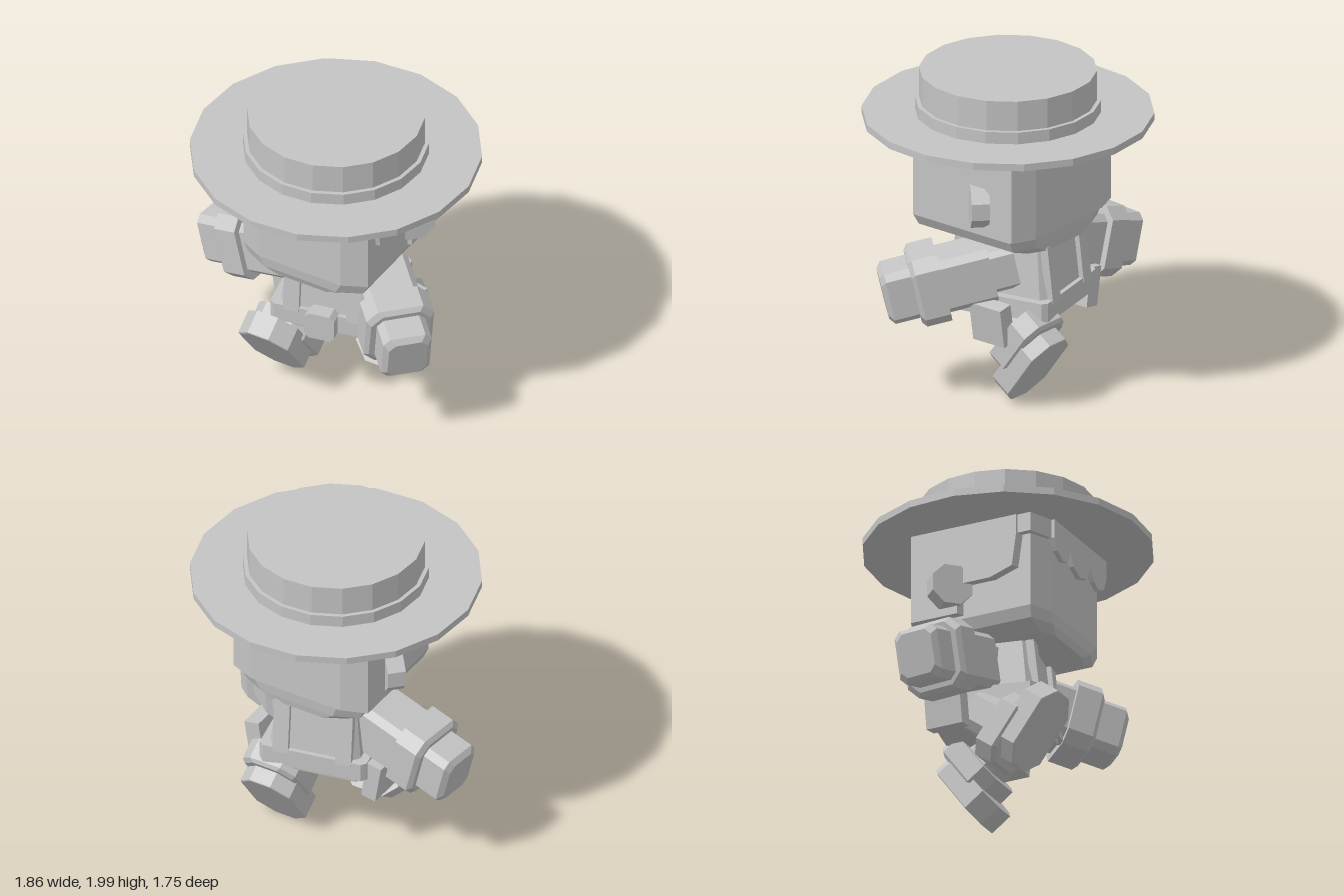
import * as THREE from 'three';

const grey = new THREE.MeshStandardMaterial({ color: 0xc4c4c4, flatShading: true });
grey.name = 'plain grey';

// Octagonal cross-section: a w x h rectangle with corners cut by c (across) and d (along), at height z
function ring(z, w, h, c, d = c, cx = 0, cy = 0) {
  const a = w / 2, b = h / 2;
  return [[a, d - b], [a, b - d], [a - c, b], [c - a, b], [-a, b - d], [-a, d - b], [c - a, -b], [a - c, -b]]
    .map(([x, y]) => [x + cx, y + cy, z]);
}

// Skin between rings stacked along +z, with closed ends
function loft(rings) {
  const pos = [];
  const tri = (...p) => p.forEach((q) => pos.push(...q));
  for (let r = 0; r < rings.length - 1; r++) {
    for (let i = 0; i < 8; i++) {
      const j = (i + 1) % 8, A = rings[r], B = rings[r + 1];
      tri(A[i], A[j], B[j]);
      tri(A[i], B[j], B[i]);
    }
  }
  const first = rings[0], last = rings[rings.length - 1];
  for (let i = 1; i < 7; i++) {
    tri(first[0], first[i + 1], first[i]);
    tri(last[0], last[i], last[i + 1]);
  }
  const g = new THREE.BufferGeometry();
  g.setAttribute('position', new THREE.Float32BufferAttribute(pos, 3));
  g.computeVertexNormals();
  return g;
}

export function createModel() {
  const root = new THREE.Group();

  function add(name, geometry, parent = root) {
    const mesh = new THREE.Mesh(geometry, grey);
    mesh.name = name;
    parent.add(mesh);
    return mesh;
  }

  // Upright solid; each level is [y, x0, x1, zBack, zFront, cutX, cutZ]
  function tower(name, levels, parent = root) {
    const g = loft(levels.map(([y, x0, x1, z0, z1, c, d]) =>
      ring(y, x1 - x0, z1 - z0, c, d, (x0 + x1) / 2, -(z0 + z1) / 2)));
    return add(name, g.rotateX(-Math.PI / 2), parent);
  }

  // Block along local z from z0 to z1 with its far end bevelled
  function block(name, parent, w, h, z0, z1, cut, bevel, cy = 0) {
    return add(name, loft([
      ring(z0, w, h, cut, cut, 0, cy),
      ring(z1 - bevel, w, h, cut, cut, 0, cy),
      ring(z1, w - 2 * bevel, h - 2 * bevel, cut, cut, 0, cy),
    ]), parent);
  }

  // Group whose local z follows a direction
  function aim(name, position, direction) {
    const z = new THREE.Vector3(...direction).normalize();
    const x = Math.abs(z.x) < 0.01 ? new THREE.Vector3(1, 0, 0)
      : new THREE.Vector3(0, 1, 0).cross(z).normalize();
    const group = new THREE.Group();
    group.name = name;
    group.position.set(...position);
    group.quaternion.setFromRotationMatrix(new THREE.Matrix4().makeBasis(x, z.clone().cross(x), z));
    root.add(group);
    return group;
  }

  // Hat
  for (const [name, r, y0, y1] of [
    ['hatBrim', 0.88, 1.69, 1.735],
    ['hatBand', 0.56, 1.735, 1.81],
    ['hatCrown', 0.535, 1.81, 2.0],
  ]) {
    const g = new THREE.CylinderGeometry(r, r, y1 - y0, 18, 1, false, THREE.MathUtils.degToRad(15.5));
    add(name, g).position.set(0.055, (y0 + y1) / 2, 0);
  }

  // Head with a tapered jaw
  tower('head', [
    [0.985, -0.21, 0.33, -0.43, 0.41, 0.1, 0.05],
    [1.03, -0.34, 0.46, -0.44, 0.43, 0.15, 0.07],
    [1.1, -0.37, 0.5, -0.45, 0.44, 0.15, 0.07],
    [1.7, -0.37, 0.5, -0.45, 0.44, 0.15, 0.07],
  ]);

  // Hair: back, sides, temples and scalloped fringe
  tower('hairBack', [
    [1.12, -0.42, 0.525, -0.47, -0.04, 0.16, 0.06],
    [1.34, -0.42, 0.525, -0.47, -0.04, 0.16, 0.06],
  ]);
  tower('hairSides', [
    [1.31, -0.42, 0.525, -0.47, 0.18, 0.16, 0.06],
    [1.36, -0.42, 0.525, -0.47, 0.33, 0.16, 0.06],
    [1.57, -0.42, 0.525, -0.47, 0.36, 0.16, 0.06],
    [1.7, -0.42, 0.525, -0.47, 0.36, 0.16, 0.06],
  ]);
  tower('hairTemples', [
    [1.57, -0.41, 0.515, -0.2, 0.45, 0.16, 0.06],
    [1.7, -0.41, 0.515, -0.2, 0.45, 0.16, 0.06],
  ]);
  const fringe = new THREE.Shape();
  [[-0.25, 1.7], [-0.25, 1.57], [-0.21, 1.5], [-0.13, 1.46], [-0.07, 1.48], [-0.04, 1.56],
    [0, 1.48], [0.09, 1.44], [0.18, 1.47], [0.22, 1.56], [0.27, 1.49], [0.33, 1.46],
    [0.4, 1.49], [0.43, 1.57], [0.43, 1.7]]
    .forEach(([x, y], i) => (i ? fringe.lineTo(x, y) : fringe.moveTo(x, y)));
  add('hairFringe', new THREE.ExtrudeGeometry(fringe, { depth: 0.045, bevelEnabled: false }))
    .position.z = 0.425;

  // Ears: octagonal discs turned outward and forward
  for (const [name, x, s] of [['leftEar', 0.51, 1], ['rightEar', -0.43, -1]]) {
    const ear = aim(name, [x, 1.295, -0.14], [s, 0, 1]);
    add('earDisc', loft([ring(-0.06, 0.25, 0.25, 0.073), ring(0.05, 0.25, 0.25, 0.073)]), ear);
  }

  // Body, twisted slightly to its left
  const body = new THREE.Group();
  body.name = 'body';
  body.position.set(0.04, 0, -0.085);
  body.rotation.y = 0.21;
  root.add(body);
  tower('torso', [
    [0.64, -0.29, 0.29, -0.32, 0.32, 0.04],
    [1.0, -0.25, 0.25, -0.28, 0.28, 0.04],
  ], body);
  tower('hips', [
    [0.52, -0.31, 0.31, -0.32, 0.32, 0.04],
    [0.6, -0.32, 0.32, -0.33, 0.33, 0.04],
  ], body);
  tower('belt', [
    [0.55, -0.34, 0.34, -0.345, 0.345, 0.03],
    [0.67, -0.34, 0.34, -0.345, 0.345, 0.03],
  ], body);
  add('buckle', loft([ring(0.31, 0.19, 0.18, 0.03), ring(0.41, 0.19, 0.18, 0.03)]), body).position.y = 0.61;

  // Shoulder straps, front and back
  for (const x of [-0.2, 0.2]) {
    for (const s of [-1, 1]) {
      const strap = add('strap', new THREE.BoxGeometry(0.1, 0.36, 0.05), body);
      strap.position.set(x, 0.82, s * 0.305);
      strap.rotation.x = -s * 0.11;
    }
  }

  // Hip pouches
  for (const [name, x, s] of [['leftPouch', 0.44, 1], ['rightPouch', -0.38, -1]]) {
    const pouch = add(name, new THREE.BoxGeometry(0.1, 0.25, 0.24));
    pouch.position.set(x, 0.53, -0.19);
    pouch.rotation.z = -s * 0.16;
  }

  // Arms, measured outward from the shoulder
  for (const [name, shoulder, dir] of [
    ['leftArm', [0.28, 0.83, -0.11], [0.7, -0.22, 0.68]],
    ['rightArm', [-0.2, 0.845, -0.07], [-0.965, -0.25, -0.09]],
  ]) {
    const arm = aim(name, shoulder, dir);
    block('shoulder', arm, 0.26, 0.26, -0.1, 0.08, 0.03, 0.01);
    block('sleeve', arm, 0.34, 0.34, 0.05, 0.37, 0.04, 0.01);
    block('cuff', arm, 0.42, 0.44, 0.35, 0.53, 0.07, 0.025);
    block('hand', arm, 0.3, 0.33, 0.52, 0.715, 0.04, 0.03);
  }

  // Legs, measured back from the sole
  for (const [name, sole, dir] of [
    ['leftLeg', [0.255, 0.215, -0.4], [0, -0.58, -0.81]],
    ['rightLeg', [-0.19, 0.335, 0.35], [0, -0.6, 0.8]],
  ]) {
    const leg = aim(name, sole, dir);
    block('foot', leg, 0.345, 0.52, -0.15, 0, 0.1, 0.005);
    block('bootTop', leg, 0.37, 0.44, -0.25, -0.1, 0.08, 0.02, -0.1);
    block('shin', leg, 0.26, 0.25, -0.47, -0.22, 0.05, 0.01, -0.08);
  }

  return root;
}
